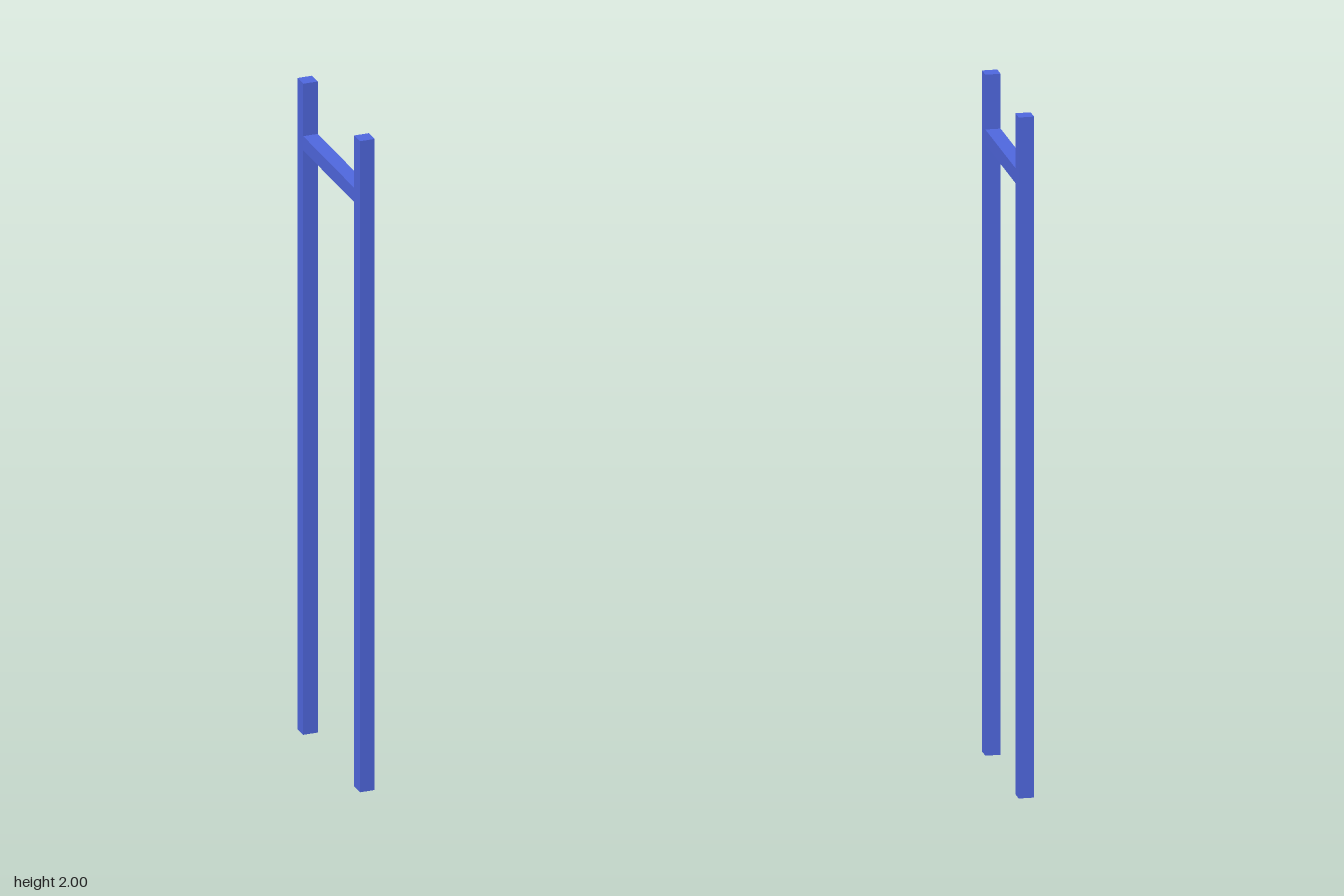
import * as THREE from 'three';

export function createModel() {
  const group = new THREE.Group();
  const material = new THREE.MeshStandardMaterial({ color: 0x5068e0 });
  const thickness = 0.044, height = 2, depth = 0.48;

  const addBeam = (name, h, d, y, z) => {
    const beam = new THREE.Mesh(new THREE.BoxGeometry(thickness, h, d), material);
    beam.name = name;
    beam.position.set(0, y, z);
    group.add(beam);
  };

  // Two upright square posts
  for (const [name, side] of [['frontPost', 1], ['backPost', -1]]) {
    addBeam(name, height, thickness, height / 2, side * (depth - thickness) / 2);
  }

  // Crossbar fitted between the posts near the top
  addBeam('crossbar', thickness, depth - 2 * thickness, 1.817, 0);

  return group;
}
